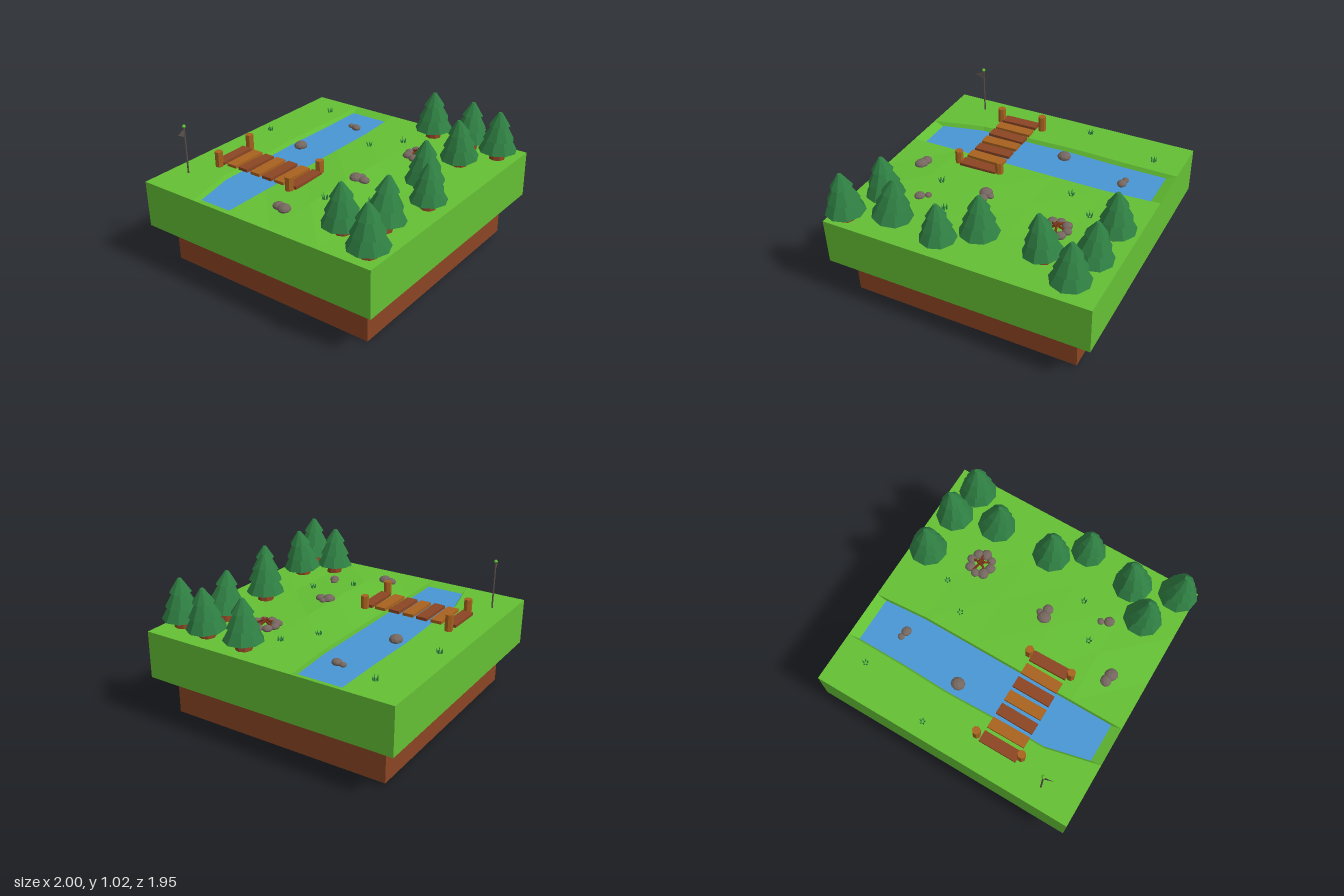
import * as THREE from 'three';
import { mergeGeometries } from 'three/addons/utils/BufferGeometryUtils.js';

const mat = (name, color, side = THREE.FrontSide) => {
  const m = new THREE.MeshStandardMaterial({ color, side });
  m.name = name;
  return m;
};

export function createModel() {
  const grass = mat('grass green', 0x64c034);
  const soil = mat('soil brown', 0x8b4523);
  const water = mat('water blue', 0x4896d4);
  const leaf = mat('pine green', 0x2f7f43);
  const wood = mat('light wood', 0xa8621f);
  const stone = mat('stone grey', 0x75675f);
  const ember = mat('fire log red brown', 0x7a3216);
  const metal = mat('pole grey', 0x5a504b, THREE.DoubleSide);

  const model = new THREE.Group();
  const island = new THREE.Group();
  island.name = 'island';
  island.position.x = 0.01;
  island.rotation.set(0, -0.005, 0.0176);
  model.add(island);

  // Faceted mesh helper
  function add(parent, name, geometry, material, x = 0, y = 0, z = 0) {
    const g = geometry.index ? geometry.toNonIndexed() : geometry;
    g.computeVertexNormals();
    const m = new THREE.Mesh(g, material);
    m.name = name;
    m.position.set(x, y, z);
    parent.add(m);
    return m;
  }
  function group(name, x, y, z) {
    const g = new THREE.Group();
    g.name = name;
    g.position.set(x, y, z);
    island.add(g);
    return g;
  }

  // Ground height: flat with one low rise
  const TOP = 0.655;
  const ground = (x, z) => TOP + 0.035
    * Math.max(0, 1 - Math.abs(x + 0.3) / 0.9) * Math.max(0, 1 - Math.abs(z - 0.17) / 0.4);

  // Grass slab with a sunken river bed
  const rows = [-0.98, -0.605, -0.51, -0.25, -0.22, 0.17, 0.55, 0.935];
  const slab = new THREE.BoxGeometry(1.97, 0.345, 2, 5, 1, 7);
  const p = slab.attributes.position;
  for (let i = 0; i < p.count; i++) {
    const row = Math.round((p.getZ(i) + 1) * 3.5);
    const x = p.getX(i);
    let z = rows[row];
    if (p.getY(i) > 0) {
      const inner = Math.abs(x) < 0.9;
      if (row === 1 && x > 0.1 && x < 0.3) z -= 0.012;
      const bed = inner && (row === 2 || row === 3);
      p.setY(i, bed ? TOP - 0.16 : inner ? ground(x, z) : TOP);
    } else p.setY(i, 0.31);
    p.setZ(i, z);
  }
  add(island, 'grassSlab', slab, grass);
  add(island, 'soilBase', new THREE.BoxGeometry(1.7, 0.295, 1.675), soil, 0, 0.1625, -0.02);
  add(island, 'river', new THREE.PlaneGeometry(1.82, 0.385).rotateX(-Math.PI / 2), water, 0, TOP - 0.028, -0.41);

  // Pine trees: x, z, size, lean around z
  const tiers = [[0.062, 0.14, 0.72, 0.14], [0.045, 0.112, 0.81, 0.12], [0.014, 0.077, 0.91, 0.095]];
  const foliage = mergeGeometries(tiers.map(([top, bottom, y, h], i) =>
    new THREE.CylinderGeometry(top, bottom, h, 9).rotateY(i * 0.15).translate(0, y - TOP + h / 2, 0)));
  const trunk = new THREE.CylinderGeometry(0.05, 0.06, 0.09, 8).translate(0, 0.035, 0);
  [
    [-0.86, 0.83, 1.02, 0.02], [-0.73, 0.54, 1, 0.03], [-0.56, 0.73, 1.03, -0.14],
    [-0.155, 0.8, 0.92, 0], [0.06, 0.635, 1, -0.02], [0.525, 0.635, 1, 0.1],
    [0.82, 0.55, 1, -0.08], [0.78, 0.8, 1, -0.02], [0.845, 0.22, 1, 0],
  ].forEach(([x, z, s, lean], i) => {
    const tree = group('pineTree', x, TOP, z);
    tree.scale.setScalar(s);
    tree.rotation.set(0, 0, lean);
    add(tree, 'trunk', trunk, soil);
    add(tree, 'foliage', foliage, leaf).rotation.y = i * 0.7;
  });

  // Plank bridge with corner posts
  const bridge = group('bridge', -0.35, 0, 0);
  for (let i = 0; i < 7; i++) {
    const plank = add(bridge, 'plank', new THREE.BoxGeometry(0.285, 0.022, 0.083),
      i % 2 ? wood : soil, 0.01, 0.676, -0.75 + i * 0.111);
    plank.rotation.set(0, 0.012 * Math.sin(i * 2.3), 0.012 * Math.cos(i * 1.7));
  }
  [[-0.15, -0.74, 0.77], [0.19, -0.757, 0.775], [-0.155, -0.08, 0.765], [0.175, -0.08, 0.76]].forEach(([x, z, top]) => {
    add(bridge, 'post', new THREE.CylinderGeometry(0.03, 0.03, top - 0.64, 7), wood, x, (top + 0.64) / 2, z);
  });

  // Rocks: x, z, radius
  function rock(parent, x, y, z, r, turn) {
    const g = new THREE.IcosahedronGeometry(r, 1).scale(1, 0.65, 0.92);
    add(parent, 'rock', g, stone, x, y, z).rotation.y = turn;
  }
  [
    [0.14, -0.515, 0.052], [0.655, -0.375, 0.038], [0.665, -0.427, 0.026],
    [-0.74, 0.075, 0.05], [-0.728, 0.02, 0.044], [-0.13, 0.2, 0.05], [-0.125, 0.265, 0.042],
    [-0.085, 0.222, 0.028], [-0.54, 0.415, 0.04], [-0.487, 0.385, 0.027],
  ].forEach(([x, z, r], i) => {
    rock(island, x, z < -0.22 ? TOP - 0.015 : ground(x, z) + 0.006, z, r, i * 1.3);
  });

  // Campfire: ring of stones with crossed logs
  const fire = group('campfire', 0.47, ground(0.47, 0.33), 0.33);
  for (let i = 0; i < 8; i++) {
    const a = i * Math.PI / 4;
    rock(fire, Math.cos(a) * 0.077, 0.01, Math.sin(a) * 0.08, 0.035 + 0.004 * (i % 3), i);
  }
  for (let i = 0; i < 5; i++) {
    const log = new THREE.CylinderGeometry(0.008, 0.009, 0.115, 6)
      .rotateZ(1.25).translate(0.03, 0.03, 0);
    add(fire, 'log', log, ember).rotation.y = i * Math.PI * 0.4;
  }

  // Grass tufts
  [[0.2, -0.87], [0.765, -0.72], [0.4, -0.065], [0.61, 0.1], [-0.485, 0.21], [-0.31, 0.46]].forEach(([x, z], t) => {
    const tuft = group('grassTuft', x, ground(x, z), z);
    for (let i = 0; i < 5; i++) {
      const a = i * 1.257 + t;
      const blade = new THREE.ConeGeometry(0.008, 0.035 + 0.006 * (i % 3), 4).translate(0, 0.016, 0);
      add(tuft, 'blade', blade, leaf, Math.cos(a) * 0.014, 0, Math.sin(a) * 0.014)
        .rotation.set(Math.sin(a) * 0.25, 0, -Math.cos(a) * 0.25);
    }
  });

  // Flagpole with pennant
  const flag = group('flagpole', -0.71, TOP, -0.84);
  add(flag, 'pole', new THREE.CylinderGeometry(0.006, 0.006, 0.35, 8), metal, 0, 0.175, 0);
  add(flag, 'finial', new THREE.OctahedronGeometry(0.014, 1), grass, 0, 0.355, 0);
  const pennant = new THREE.Shape([[0, 0.34], [-0.075, 0.315], [0, 0.275]].map(([x, y]) => new THREE.Vector2(x, y)));
  add(flag, 'pennant', new THREE.ShapeGeometry(pennant), metal).rotation.y = 0.2;

  return model;
}
